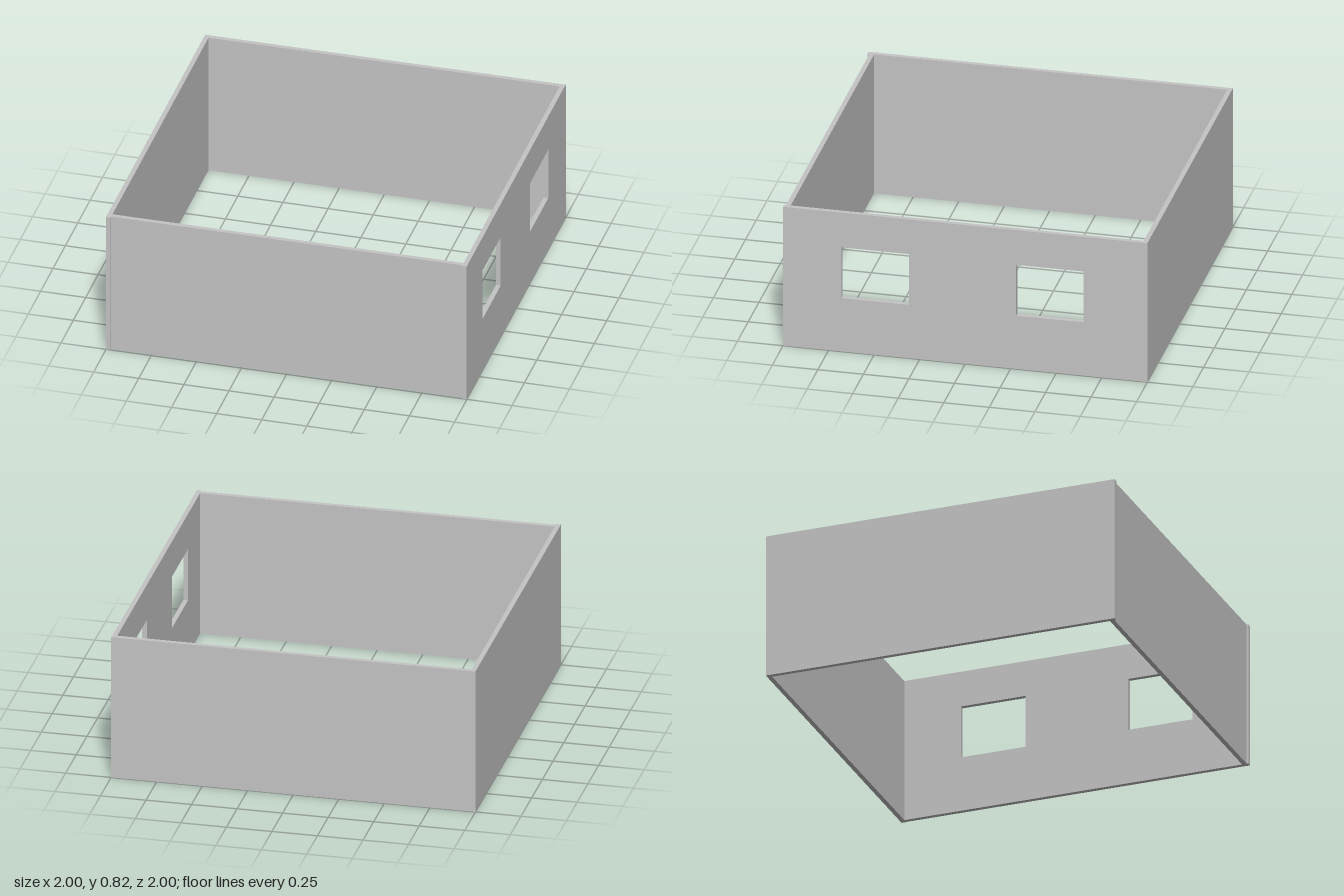
import * as THREE from 'three';

const HEIGHT = 0.82;
const T = 0.026; // wall thickness

export function createModel() {
  const group = new THREE.Group();
  const wallGrey = new THREE.MeshStandardMaterial({ color: 0xc4c4c4 });
  wallGrey.name = 'wallGrey';

  // Solid wall spanning x0..x1 and z0..z1
  function addWall(name, x0, x1, z0, z1) {
    const wall = new THREE.Mesh(new THREE.BoxGeometry(x1 - x0, HEIGHT, z1 - z0), wallGrey);
    wall.position.set((x0 + x1) / 2, HEIGHT / 2, (z0 + z1) / 2);
    wall.name = name;
    group.add(wall);
  }
  addWall('rightSideWall', -1, -1 + T, -1 + T, 1);
  addWall('backWall', -1, 1, -1, -1 + T);
  addWall('frontWall', -1 + T, 1 - T, 0.99 - T, 0.99);

  // Wall with two window openings, drawn with -z along the shape's x
  const rect = (path, a0, a1, b0, b1) => {
    path.moveTo(a0, b0);
    path.lineTo(a1, b0);
    path.lineTo(a1, b1);
    path.lineTo(a0, b1);
    path.closePath();
    return path;
  };
  const outline = rect(new THREE.Shape(), -1, 1 - T, 0, HEIGHT);
  for (const [a0, a1] of [[-0.68, -0.31], [0.28, 0.65]]) {
    outline.holes.push(rect(new THREE.Path(), a0, a1, 0.315, 0.615));
  }
  const geometry = new THREE.ExtrudeGeometry(outline, { depth: T, bevelEnabled: false });
  geometry.rotateY(Math.PI / 2);
  const windowWall = new THREE.Mesh(geometry, wallGrey);
  windowWall.position.x = 0.998 - T;
  windowWall.name = 'windowWall';
  group.add(windowWall);

  return group;
}
